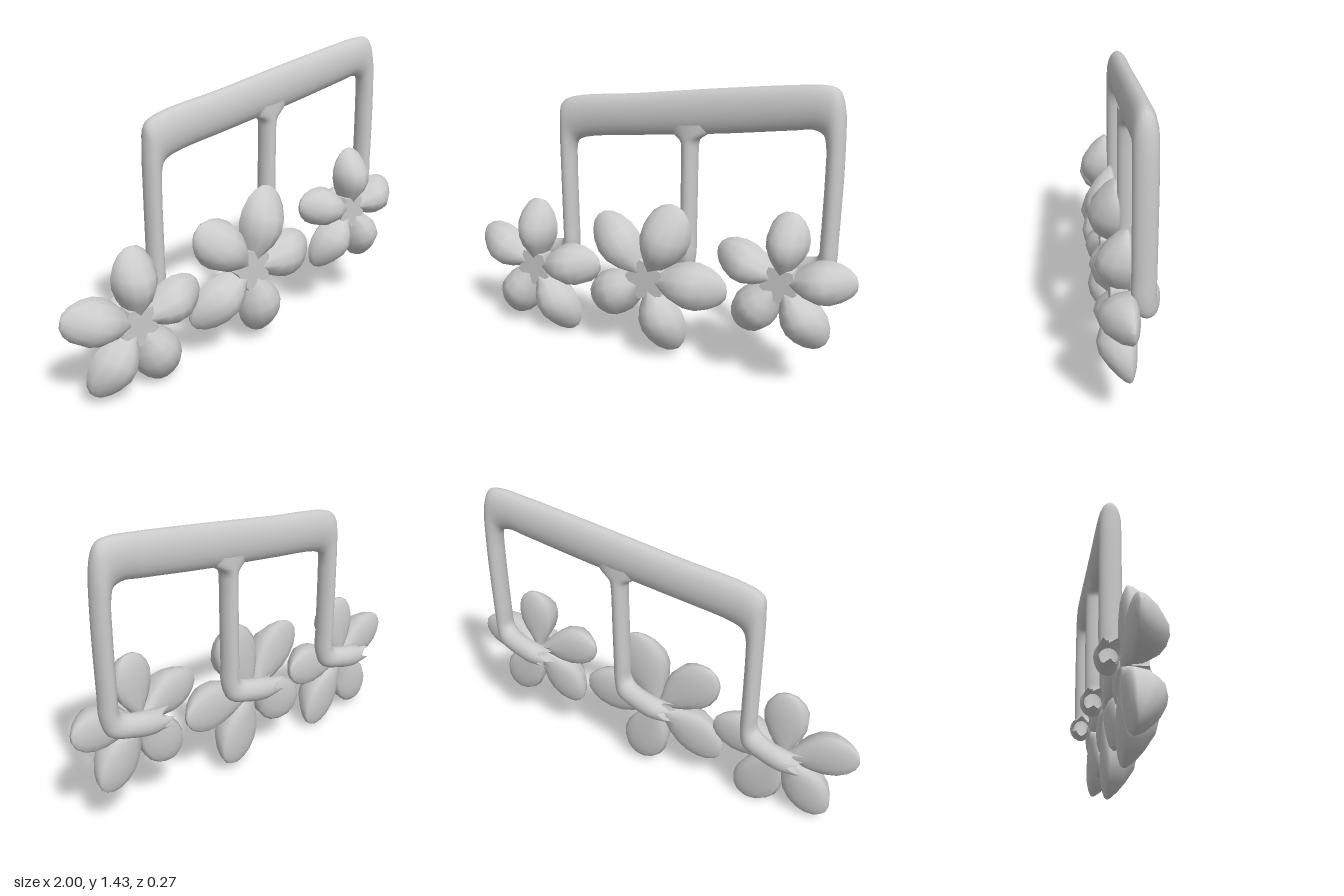
import * as THREE from 'three';

const grey = new THREE.MeshStandardMaterial({ color: 0xcccccc, side: THREE.DoubleSide });

// Skin of rings: ringPoint(i, angle) gives [x, y, z]
function loft(rings, sides, ringPoint) {
  const pos = [], idx = [];
  for (let i = 0; i < rings; i++) {
    for (let j = 0; j < sides; j++) {
      pos.push(...ringPoint(i, (j / sides) * Math.PI * 2));
      if (i === rings - 1) continue;
      const a = i * sides + j, b = i * sides + ((j + 1) % sides);
      idx.push(a, b, a + sides, b, b + sides, a + sides);
    }
  }
  const g = new THREE.BufferGeometry();
  g.setAttribute('position', new THREE.Float32BufferAttribute(pos, 3));
  g.setIndex(idx);
  g.computeVertexNormals();
  return g;
}

// Elliptical bar between two edge lines; each station is [px, py, qx, qy, z]
function bar(stations, name, tornEnd) {
  const line = (k) => new THREE.CatmullRomCurve3(
    stations.map((s) => new THREE.Vector3(s[k], s[k + 1], s[4] ?? -0.05)));
  const P = line(0), Q = line(2), n = (stations.length - 1) * 4;
  const g = loft(n + 1, 20, (i, a) => {
    const p = P.getPoint(i / n), q = Q.getPoint(i / n);
    const c = p.clone().add(q).multiplyScalar(0.5);
    const u = p.sub(q).multiplyScalar(0.5 * Math.cos(a));
    const torn = i === 0 || (tornEnd && i === n) ? 0.035 * Math.cos(a * 5) : 0;
    return [c.x + u.x + torn, c.y + u.y, c.z + 0.05 * Math.sin(a)];
  });
  const m = new THREE.Mesh(g, grey);
  m.name = name;
  return m;
}

// Foot of a stem at x = s, bending towards the flower at height y
const foot = (s, y) => [
  [s - 0.25, y + 0.06, s - 0.24, y - 0.03, -0.08],
  [s - 0.17, y + 0.085, s - 0.17, y - 0.03, -0.085],
  [s - 0.10, y + 0.10, s - 0.07, y - 0.005, -0.075],
  [s - 0.06, y + 0.115, s + 0.015, y + 0.03, -0.06],
  [s - 0.04, y + 0.14, s + 0.037, y + 0.10],
  [s - 0.038, y + 0.22, s + 0.038, y + 0.22],
];

// Petal sections: [radius, half width, front z, back z], first two per unit length
const petalRows = [
  [0, 0.03, 0.05, 0.03], [0.2, 0.14, 0.08, 0.035], [0.34, 0.23, 0.115, 0.036],
  [0.5, 0.29, 0.133, 0.036], [0.65, 0.3, 0.122, 0.035], [0.8, 0.26, 0.085, 0.03],
  [0.91, 0.19, 0.05, 0.02], [0.98, 0.1, 0.02, 0.01], [1, 0, 0.005, 0],
];

function makeFlower(cx, cy, tips) {
  const flower = new THREE.Group();
  flower.name = 'flower';
  const outline = new THREE.Shape();
  tips.forEach(([x, y], k) => {
    const len = Math.hypot(x - cx, y - cy), angle = Math.atan2(y - cy, x - cx);
    const g = loft(petalRows.length, 12, (i, a) => {
      const [r, w, front, back] = petalRows[i], s = Math.sin(a);
      return [r * len, w * len * Math.cos(a), s * (s > 0 ? front : back)];
    });
    const petal = new THREE.Mesh(g, grey);
    petal.name = 'petal';
    petal.rotation.z = angle;
    flower.add(petal);
    // Corner of the centre lies halfway to the next petal
    const [nx, ny] = tips[(k + 1) % tips.length];
    const mid = new THREE.Vector2(Math.cos(angle), Math.sin(angle))
      .add(new THREE.Vector2(nx - cx, ny - cy).normalize()).setLength(len * 0.27);
    k ? outline.lineTo(mid.x, mid.y) : outline.moveTo(mid.x, mid.y);
  });
  const centre = new THREE.Mesh(
    new THREE.ExtrudeGeometry(outline, { depth: 0.07, bevelEnabled: false }), grey);
  centre.name = 'flowerCentre';
  flower.add(centre);
  flower.position.set(cx, cy, 0);
  return flower;
}

export function createModel() {
  const model = new THREE.Group();
  model.name = 'flowerNotes';

  // Slanted beam with both outer stems as one continuous bar
  const rightFoot = foot(0.845, 0.54).reverse().map(([a, b, c, d, z]) => [c, d, a, b, z]);
  model.add(bar([
    ...foot(-0.485, 0.36),
    [-0.522, 0.9, -0.447, 0.9],
    [-0.519, 1.12, -0.442, 0.98],
    [-0.508, 1.2, -0.425, 1.02],
    [-0.45, 1.235, -0.38, 1.045],
    [-0.1, 1.29, -0.08, 1.095],
    [0.3, 1.355, 0.32, 1.155],
    [0.65, 1.407, 0.66, 1.215],
    [0.77, 1.42, 0.74, 1.228],
    [0.83, 1.41, 0.785, 1.21],
    [0.86, 1.35, 0.8, 1.16],
    [0.878, 1.15, 0.805, 1.05],
    ...rightFoot,
  ], 'beamAndOuterStems', true));

  // Middle stem, flaring into the beam
  model.add(bar([
    ...foot(0.172, 0.43),
    [0.136, 0.9, 0.21, 0.9],
    [0.136, 1.05, 0.21, 1.05],
    [0.13, 1.1, 0.218, 1.11],
    [0.09, 1.13, 0.27, 1.155],
    [0.07, 1.17, 0.29, 1.2],
  ], 'middleStem', false));

  // Flowers: centre, then petal tips counter-clockwise
  model.add(
    makeFlower(-0.65, 0.345, [[-0.64, 0.7], [-0.29, 0.41], [-0.46, 0.005], [-0.86, 0.035], [-1, 0.46]]),
    makeFlower(0, 0.41, [[0.14, 0.795], [0.4, 0.42], [0.12, 0.035], [-0.33, 0.2], [-0.29, 0.68]].reverse()),
    makeFlower(0.67, 0.55, [[0.69, 0.87], [1, 0.6], [0.855, 0.25], [0.46, 0.27], [0.35, 0.64]]),
  );
  return model;
}
